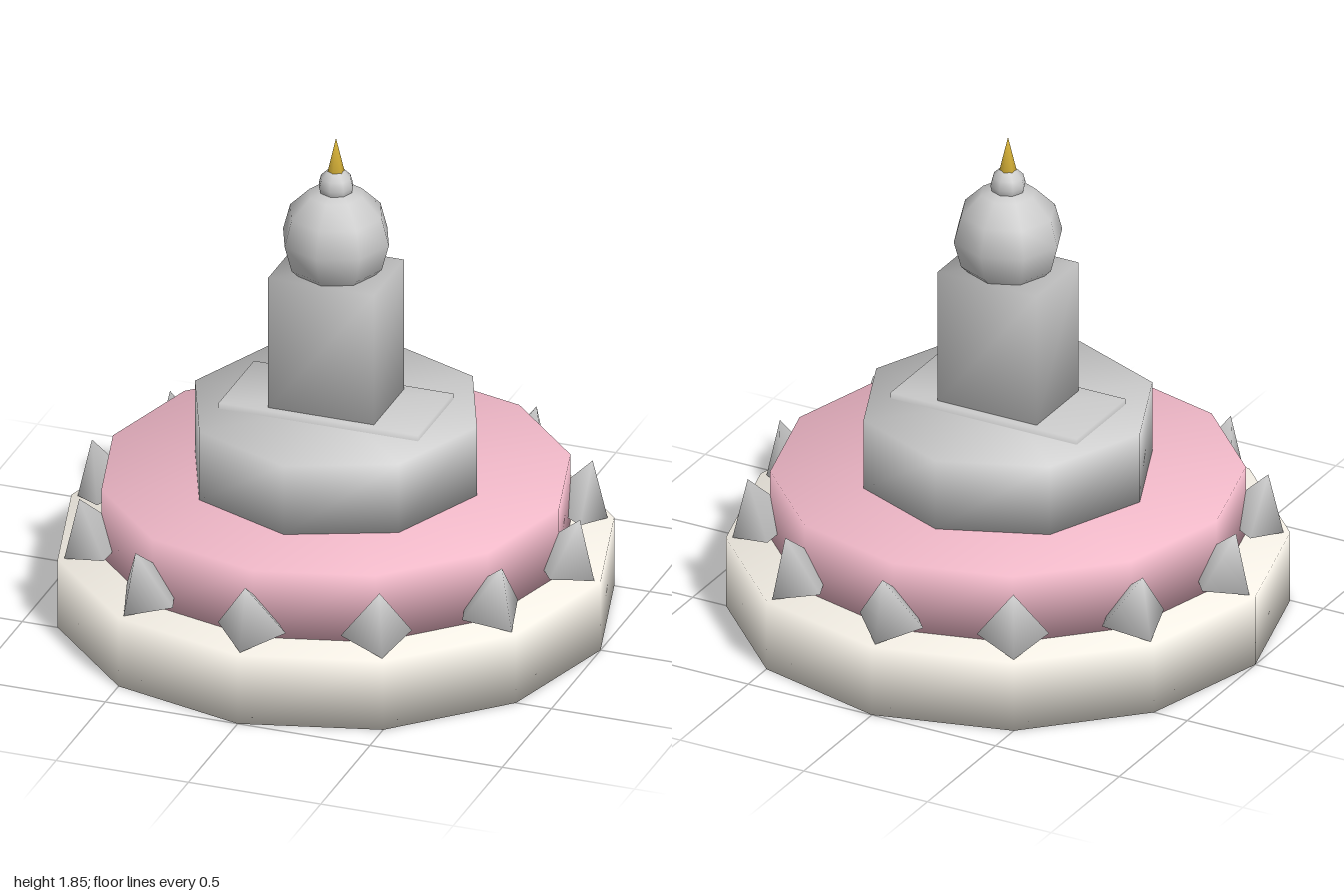
import * as THREE from 'three';
import { mergeVertices } from 'three/addons/utils/BufferGeometryUtils.js';

const material = (color) => new THREE.MeshStandardMaterial({ color });

// Weld all corners so that the shading runs smoothly over every edge
function weld(geometry) {
  geometry.deleteAttribute('normal');
  geometry.deleteAttribute('uv');
  const welded = mergeVertices(geometry, 1e-4);
  welded.computeVertexNormals();
  return welded;
}

export function createModel() {
  const model = new THREE.Group();
  model.name = 'lotusStatue';
  const grey = material(0xcccccc);
  const ivory = material(0xf5f0e6);
  const pink = material(0xf0b8c8);
  const gold = material(0xd4af37);

  function add(name, geometry, mat, y) {
    const mesh = new THREE.Mesh(weld(geometry), mat);
    mesh.name = name;
    mesh.position.y = y;
    model.add(mesh);
    return mesh;
  }

  // Stepped pedestal
  add('base', new THREE.CylinderGeometry(1, 1, 0.27, 12), ivory, 0.135);
  add('lotusTier', new THREE.CylinderGeometry(0.843, 0.843, 0.263, 12), pink, 0.4);
  add('seat', new THREE.CylinderGeometry(0.533, 0.533, 0.27, 8), grey, 0.666);

  // Figure: crossed legs, torso, head, topknot and spire
  add('legs', new THREE.BoxGeometry(0.754, 0.12, 0.36), grey, 0.763);
  add('torso', new THREE.BoxGeometry(0.4, 0.515, 0.306), grey, 1.077);
  add('head', new THREE.SphereGeometry(0.2, 8, 6), grey, 1.46);
  add('topknot', new THREE.SphereGeometry(0.065, 8, 6), grey, 1.665);
  add('spire', new THREE.ConeGeometry(0.034, 0.145, 6), gold, 1.778);

  // Ring of four-sided petals leaning outwards
  const petals = new THREE.Group();
  petals.name = 'petals';
  const petalGeometry = weld(new THREE.ConeGeometry(0.128, 0.2, 4));
  for (let i = 0; i < 12; i++) {
    const holder = new THREE.Group();
    holder.name = 'petalHolder';
    holder.rotation.y = (i * Math.PI) / 6;
    const petal = new THREE.Mesh(petalGeometry, grey);
    petal.name = 'petal';
    petal.position.set(0, 0.407, 0.889);
    petal.rotation.x = 0.34;
    holder.add(petal);
    petals.add(holder);
  }
  model.add(petals);
  return model;
}
